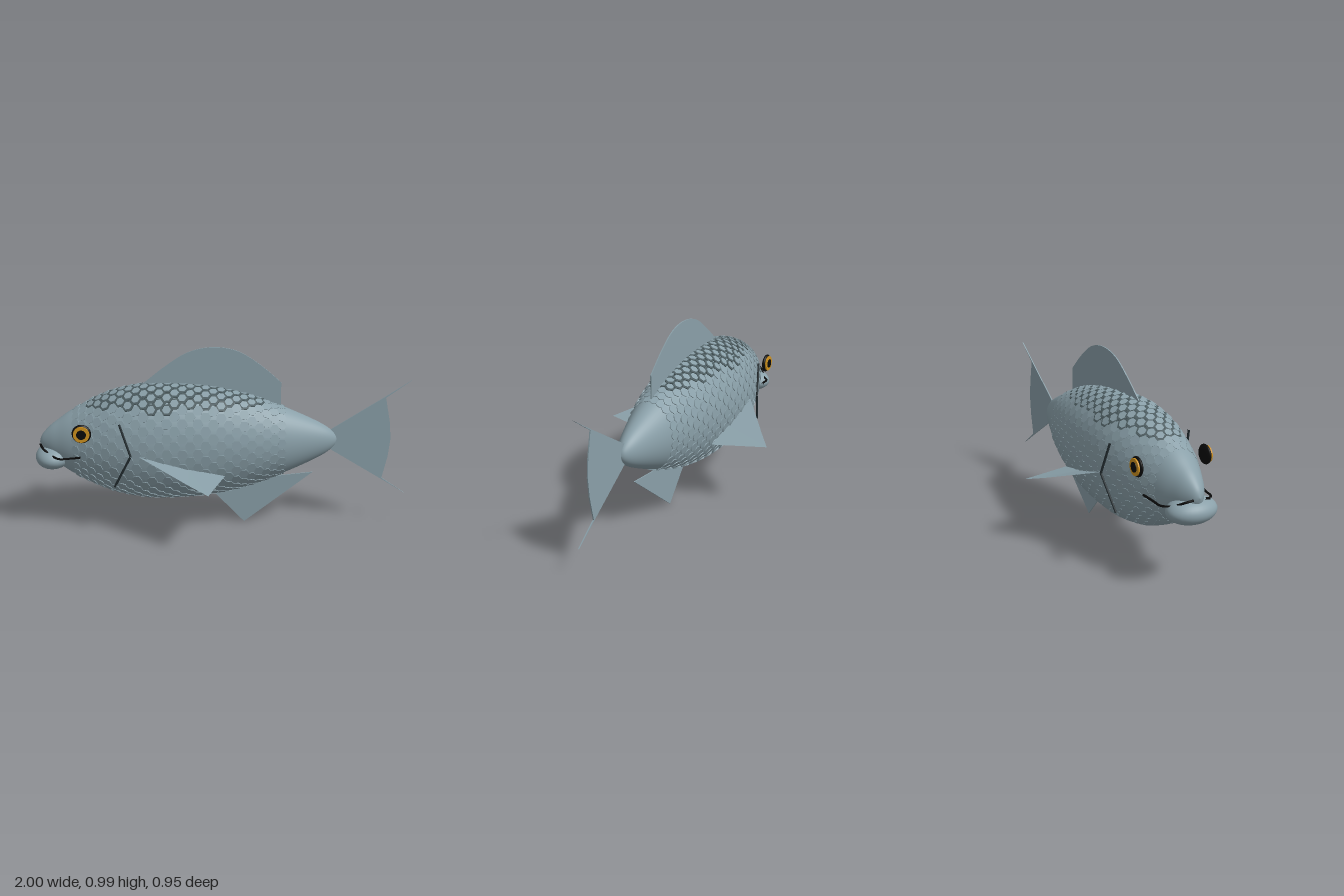
import * as THREE from 'three';
import { mergeGeometries } from 'three/addons/utils/BufferGeometryUtils.js';

const mat = (name, color, side = THREE.FrontSide) => {
  const m = new THREE.MeshStandardMaterial({ color, side });
  m.name = name;
  return m;
};
const V = (x, y, z) => new THREE.Vector3(x, y, z);
const MID = 0.48, FLAT = 0.7; // body axis height, width to height ratio

// body radius along its length: [x, r]
const PROFILE = [[-0.975, 0], [-0.96, 0.04], [-0.92, 0.085], [-0.87, 0.125], [-0.78, 0.185], [-0.6, 0.267],
  [-0.45, 0.303], [-0.33, 0.313], [-0.15, 0.306], [0, 0.285], [0.15, 0.248], [0.3, 0.195], [0.45, 0.13],
  [0.55, 0.078], [0.6, 0.035], [0.615, 0]];
const profile = new THREE.SplineCurve(PROFILE.map(([x, r]) => new THREE.Vector2(r, x))).getPoints(75);
profile.forEach(p => { p.x = Math.max(p.x, 0); });

function radiusAt(x) {
  const i = Math.max(1, profile.findIndex(p => p.y >= x));
  const a = profile[i - 1], b = profile[i];
  return a.x + (b.x - a.x) * (x - a.y) / (b.y - a.y);
}
const surface = (x, a) => V(x, MID + radiusAt(x) * Math.cos(a), FLAT * radiusAt(x) * Math.sin(a));

export function createModel() {
  const group = new THREE.Group();
  group.name = 'fish';
  const skin = mat('blue grey skin', 0x8aa0a9);
  const finSkin = skin.clone();
  finSkin.side = THREE.DoubleSide;
  const dark = mat('dark scale', 0x4c5c60);
  const line = mat('charcoal line', 0x263034);
  const gold = mat('gold iris', 0xd0921e);
  const black = mat('black', 0x0a0a0a);

  const add = (name, geo, material, parent = group) => {
    const mesh = new THREE.Mesh(geo, material);
    mesh.name = name;
    parent.add(mesh);
    return mesh;
  };

  // body
  const body = new THREE.LatheGeometry(profile, 48);
  body.rotateZ(-Math.PI / 2).scale(1, 1, FLAT).translate(0, MID, 0);
  add('body', body, skin);

  // staggered rings of hexagonal scales, dark across the back
  const lightScales = [], darkScales = [];
  const hex = (r, lift, x, a) => {
    const p = surface(x, a);
    const along = surface(x + 0.01, a).sub(surface(x - 0.01, a)).normalize();
    const around = surface(x, a + 0.02).sub(surface(x, a - 0.02)).normalize();
    const out = V(0, 0, 0).crossVectors(around, along).normalize();
    if (out.dot(V(0, p.y - MID, p.z)) < 0) out.negate();
    const across = V(0, 0, 0).crossVectors(along, out);
    const g = new THREE.CylinderGeometry(r, r, 0.004, 6).toNonIndexed();
    g.rotateY(Math.PI / 2).rotateZ(0.13);
    g.applyMatrix4(new THREE.Matrix4().makeBasis(along, out, across));
    p.addScaledVector(out, lift);
    return g.translate(p.x, p.y, p.z);
  };
  const RINGS = 28, AROUND = 24;
  for (let i = 0; i < RINGS; i++) {
    const x = -0.77 + i * 0.04;
    const size = Math.min(1, 0.5 + radiusAt(x) * 1.7);
    for (let j = 0; j < AROUND; j++) {
      const a = (j + (i % 2) / 2) / AROUND * Math.PI * 2;
      if (surface(x, a).y > 0.7) {
        darkScales.push(hex(0.035 * size, 0.002, x, a));
        lightScales.push(hex(0.023 * size, 0.006, x, a));
      } else lightScales.push(hex(0.029 * size, 0.001, x, a));
    }
  }
  add('scales', mergeGeometries(lightScales), skin);
  add('backScales', mergeGeometries(darkScales), dark);

  // upright fins as thin plates
  const plate = (name, shape) => {
    const g = new THREE.ExtrudeGeometry(shape, { depth: 0.006, bevelEnabled: false, curveSegments: 16 });
    add(name, g.translate(0, 0, -0.003), finSkin);
  };
  const outline = pts => new THREE.Shape(pts.map(p => new THREE.Vector2(...p)));

  const dorsal = new THREE.Shape();
  dorsal.moveTo(-0.45, 0.76);
  dorsal.lineTo(-0.42, 0.795);
  dorsal.splineThru([[-0.3, 0.89], [-0.18, 0.965], [-0.05, 0.992], [0.08, 0.97], [0.2, 0.895], [0.31, 0.8]]
    .map(p => new THREE.Vector2(...p)));
  dorsal.lineTo(0.31, 0.62);
  plate('dorsalFin', dorsal);
  plate('tailFin', outline([[0.54, 0.51], [0.87, 0.72], [1, 0.806], [0.868, 0.712], [0.895, 0.58], [0.905, 0.485],
    [0.895, 0.38], [0.868, 0.255], [1, 0.164], [0.87, 0.246], [0.54, 0.45]]));
  plate('analFin', outline([[-0.07, 0.205], [0.12, 0.003], [0.49, 0.292], [0.2, 0.262], [0.05, 0.26]]));

  // lips
  const lip = new THREE.SphereGeometry(1, 32, 20);
  add('lowerLip', lip, skin).position.set(-0.905, 0.402, 0);
  group.getObjectByName('lowerLip').scale.set(0.095, 0.066, 0.13);

  // paired parts on each flank
  for (const s of [1, -1]) {
    const side = new THREE.Group();
    side.name = s > 0 ? 'leftFlank' : 'rightFlank';
    group.add(side);

    // folded pectoral fin
    const fin = new THREE.BufferGeometry();
    const A = [-0.44, 0.47, 0.215], B = [-0.08, 0.357, 0.475], C = [0.01, 0.35, 0.195];
    const D = [-0.18, 0.385, 0.402], E = [-0.18, 0.392, 0.2];
    const tris = [A, D, E, E, D, B, E, B, C].flatMap(([x, y, z]) => [x, y, z * s]);
    fin.setAttribute('position', new THREE.Float32BufferAttribute(tris, 3));
    fin.computeVertexNormals();
    add('pectoralFin', fin, finSkin, side);

    // gill line
    const gill = new THREE.CurvePath();
    const top = V(-0.53, 0.648, 0.222 * s), bend = V(-0.475, 0.48, 0.242 * s), low = V(-0.565, 0.3, 0.207 * s);
    for (const [from, to] of [[top, bend], [bend, low]])
      add('gillLine', new THREE.TubeGeometry(new THREE.LineCurve3(from, to), 1, 0.006, 8), line, side);

    // mouth line
    const mouth = new THREE.CatmullRomCurve3([V(-0.968, 0.475, 0.03 * s), V(-0.95, 0.462, 0.065 * s),
      V(-0.9, 0.435, 0.1 * s), V(-0.86, 0.43, 0.137 * s), V(-0.8, 0.434, 0.143 * s), V(-0.74, 0.446, 0.16 * s)]);
    add('mouthLine', new THREE.TubeGeometry(mouth, 20, 0.006, 6), black, side);

    // eye: dark rim, gold iris, black pupil
    const eye = new THREE.Group();
    eye.name = 'eye';
    eye.position.set(-0.727, 0.586, 0.187 * s);
    side.add(eye);
    const disc = (name, r, z, depth, m) =>
      add(name, new THREE.CylinderGeometry(r, r, depth, 28).rotateX(Math.PI / 2), m, eye).position.z = z * s;
    add('eyeball', new THREE.SphereGeometry(0.05, 28, 16).scale(1, 1, 0.34), black, eye);
    disc('iris', 0.042, 0.012, 0.01, gold);
    disc('pupil', 0.025, 0.016, 0.008, black);
  }
  return group;
}
